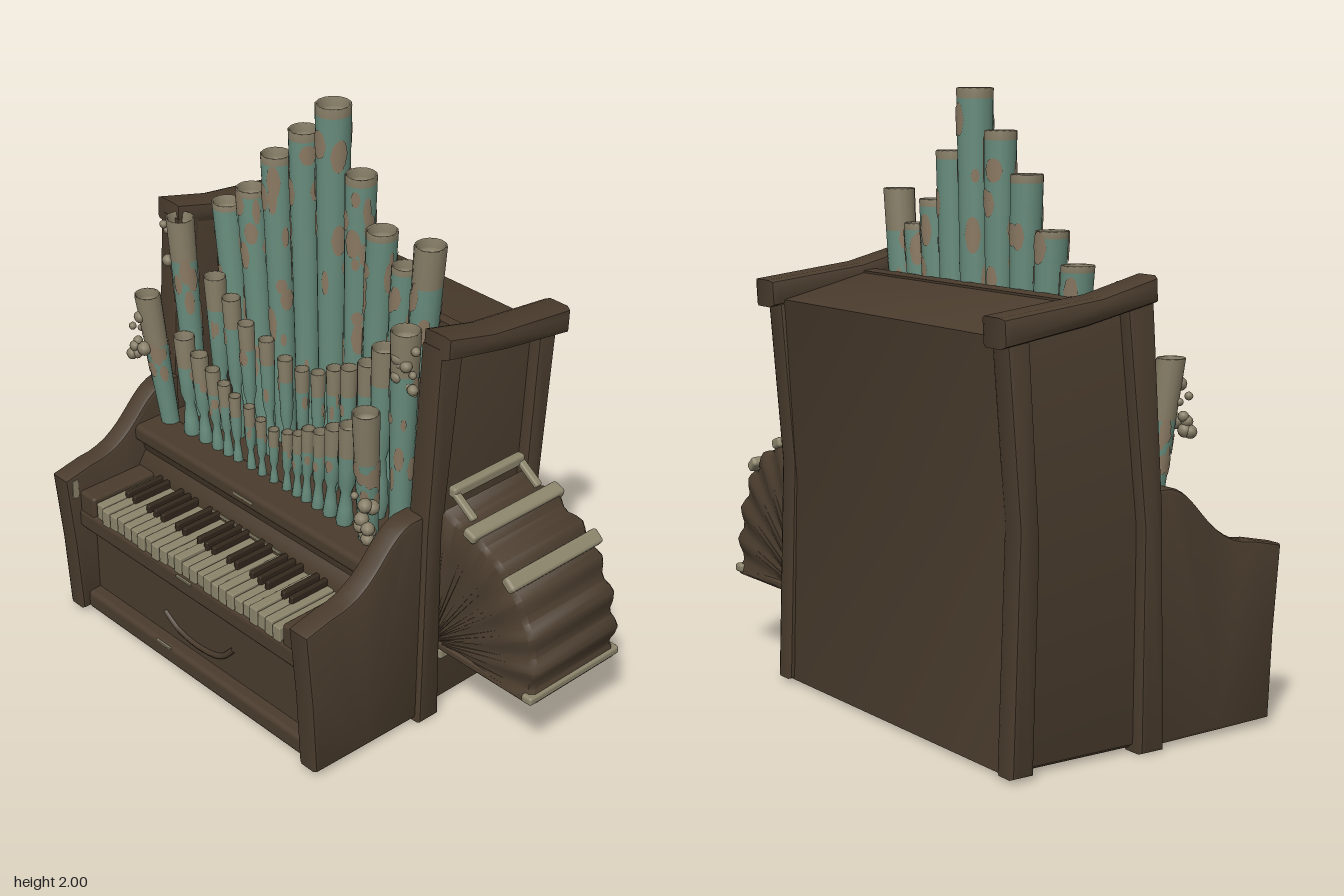
import * as THREE from 'three';
import { toCreasedNormals } from 'three/addons/utils/BufferGeometryUtils.js';
import { RoundedBoxGeometry } from 'three/addons/geometries/RoundedBoxGeometry.js';

const mat = (name, color, side = THREE.FrontSide) => {
  const m = new THREE.MeshStandardMaterial({ color, side });
  m.name = name;
  return m;
};

export function createModel() {
  const root = new THREE.Group();
  root.name = 'pipeOrgan';
  const wood = mat('dark wood', 0x4a3c2d);
  const leather = mat('bellows leather', 0x4c3e2f, THREE.DoubleSide);
  const shade = mat('dark recess', 0x33281d);
  const bone = mat('bone', 0x8c856c);
  const teal = mat('verdigris copper', 0x688d7d);
  const pale = mat('worn pipe metal', 0x877e67);
  const rust = mat('rust', 0x8a7962, THREE.DoubleSide);

  let seed = 7;
  const rnd = () => (seed = (seed * 16807) % 2147483647) / 2147483647;
  const group = (name) => {
    const g = new THREE.Group();
    g.name = name;
    root.add(g);
    return g;
  };
  const add = (parent, name, geo, material) => {
    const m = new THREE.Mesh(geo, material);
    m.name = name;
    parent.add(m);
    return m;
  };
  // Rounded block given by its extents
  const block = (parent, name, x0, x1, y0, y1, z0, z1, material = wood, r = 0.012) => {
    const w = x1 - x0, h = y1 - y0, d = z1 - z0;
    const m = add(parent, name, new RoundedBoxGeometry(w, h, d, 2, Math.min(r, w / 3, h / 3, d / 3)), material);
    m.position.set((x0 + x1) / 2, (y0 + y1) / 2, (z0 + z1) / 2);
    return m;
  };
  // Side profile (x = depth, y = height) extruded along x, with softened edges
  const slabShape = (parent, name, shape, x0, x1, material = wood, b = 0.012) => {
    const geo = new THREE.ExtrudeGeometry(shape, {
      depth: x1 - x0 - 2 * b, bevelEnabled: b > 0, bevelSize: b, bevelOffset: -b, bevelThickness: b, bevelSegments: 2, curveSegments: 12,
    });
    geo.rotateY(-Math.PI / 2).translate(x1 - b, 0, 0);
    return add(parent, name, toCreasedNormals(geo, 0.7), material);
  };
  // The same from a list of [z, y] points
  const slab = (parent, name, pts, ...rest) =>
    slabShape(parent, name, new THREE.Shape(pts.map((p) => new THREE.Vector2(p[0], p[1]))), ...rest);

  // Cabinet: leaning sides, posts, caps, back, floor and sloping roof
  const cabinet = group('cabinet');
  slab(cabinet, 'cabinetBody', [[-0.17, 0.01], [-0.17, 1.385], [-0.505, 1.305], [-0.465, 0.7], [-0.485, 0.01]], -0.83, 0.43);
  for (const s of [-1, 1]) {
    const X = (a, b) => (s > 0 ? [-0.2 + a, -0.2 + b] : [-0.2 - b, -0.2 - a]);
    slab(cabinet, 'sidePanel', [[0.02, 0.02], [-0.03, 1.38], [-0.47, 1.3], [-0.45, 0.02]], ...X(0.6, 0.645));
    slab(cabinet, 'frontPost', [[0.07, 0], [0.055, 0.75], [0.01, 1.41], [-0.09, 1.39], [-0.015, 0.7], [-0.02, 0]], ...X(0.595, 0.69), wood, 0.016);
    slab(cabinet, 'backPost', [[-0.42, 0.01], [-0.4, 0.7], [-0.44, 1.31], [-0.52, 1.29], [-0.475, 0.75], [-0.5, 0.01]], ...X(0.6, 0.69), wood, 0.018);
    slab(cabinet, 'postCap', [[0.01, 1.38], [0.005, 1.46], [-0.2, 1.41], [-0.555, 1.37], [-0.55, 1.28], [-0.25, 1.325]], ...X(0.595, 0.72), wood, 0.025);
  }
  slab(cabinet, 'roofFrontRail', [[-0.155, 1.3], [-0.155, 1.39], [-0.2, 1.385], [-0.2, 1.3]], -0.82, 0.42);
  slab(cabinet, 'recessWall', [[-0.165, 0.66], [-0.165, 1.3], [-0.172, 1.3], [-0.172, 0.66]], -0.8, 0.4, shade, 0);
  block(cabinet, 'floor', -0.83, 0.43, 0.01, 0.06, -0.47, 0.46);

  // Console: swept cheeks, front panels and the pipe ledge
  const consoleCase = group('console');
  const cheek = new THREE.Shape();
  cheek.moveTo(0.04, 0.01);
  cheek.lineTo(0.04, 0.81);
  cheek.lineTo(0.1, 0.81);
  cheek.bezierCurveTo(0.22, 0.79, 0.25, 0.61, 0.44, 0.605);
  cheek.lineTo(0.555, 0.58);
  cheek.lineTo(0.53, 0.3);
  cheek.lineTo(0.515, 0.02);
  cheek.lineTo(0.3, 0.015);
  slabShape(consoleCase, 'rightCheek', cheek, -0.87, -0.785, wood, 0.016);
  slabShape(consoleCase, 'leftCheek', cheek, 0.375, 0.465, wood, 0.016);
  block(consoleCase, 'rightCheekWear', -0.793, -0.783, 0.5, 0.57, 0.505, 0.53, bone, 0.002);
  block(consoleCase, 'leftCheekWear', 0.373, 0.383, 0.5, 0.57, 0.505, 0.53, bone, 0.002);
  block(consoleCase, 'baseRail', -0.8, 0.39, 0.015, 0.09, 0.08, 0.49, wood, 0.02);
  block(consoleCase, 'kneePanel', -0.8, 0.39, 0.07, 0.39, 0.05, 0.44);
  block(consoleCase, 'keySlip', -0.8, 0.39, 0.37, 0.45, 0.1, 0.505, wood, 0.02);
  block(consoleCase, 'ledge', -0.82, 0.42, 0.4, 0.67, -0.17, 0.2);
  slab(consoleCase, 'fallboard', [[0.1, 0.44], [0.1, 0.64], [0.225, 0.64], [0.205, 0.57], [0.235, 0.525], [0.235, 0.44]], -0.79, 0.38, wood, 0.006);
  block(consoleCase, 'ledgeRail', -0.81, 0.4, 0.62, 0.685, 0.1, 0.245, wood, 0.02);
  block(consoleCase, 'railWear', -0.25, -0.15, 0.65, 0.66, 0.238, 0.247, bone, 0.002);
  block(consoleCase, 'fallboardWear', -0.4, -0.02, 0.51, 0.522, 0.229, 0.238, bone, 0.002);
  block(consoleCase, 'rightKeyBlock', -0.79, -0.705, 0.43, 0.52, 0.2, 0.5);
  block(consoleCase, 'leftKeyBlock', 0.285, 0.38, 0.43, 0.52, 0.2, 0.5);
  block(consoleCase, 'slipWear', -0.25, -0.17, 0.432, 0.44, 0.5, 0.509, bone, 0.002);
  block(consoleCase, 'baseWear', -0.4, -0.32, 0.078, 0.086, 0.483, 0.492, bone, 0.002);
  const carve = new THREE.CatmullRomCurve3([[-0.4, 0.18], [-0.33, 0.14], [-0.21, 0.125], [-0.1, 0.15], [-0.03, 0.215]].map(([x, y]) => new THREE.Vector3(x, y, 0.44)));
  add(consoleCase, 'curvedHandle', new THREE.TubeGeometry(carve, 20, 0.012, 6), wood);

  // Keyboard: uneven pale keys with dark sharps
  const keyboard = group('keyboard');
  const keys = 25, kw = 0.98 / keys;
  for (let i = 0; i < keys; i++) {
    const x = -0.7 + i * kw, drop = rnd() * 0.012;
    block(keyboard, 'naturalKey', x + 0.001, x + kw - 0.001, 0.44, 0.508 - drop, 0.225, 0.505 - rnd() * 0.012, bone, 0.005);
    if (![2, 6].includes(i % 7) && i < keys - 1) {
      block(keyboard, 'sharpKey', x + kw - 0.01, x + kw + 0.01, 0.48, 0.527, 0.225, 0.39, shade, 0.005);
    }
  }

  // One leaning pipe: tapered body, worn collar, hollow mouth, worn patches
  const BASE = 0.66;
  const pipe = (parent, x, top, z, r, bx, bz, pinched, wear) => {
    const h = top - BASE;
    const shear = new THREE.Matrix4().set(1, (x - bx) / h, 0, bx, 0, 1, 0, BASE, 0, (z - bz) / h, 1, bz, 0, 0, 0, 1);
    const R = pinched
      ? (t) => r * (t < 0.1 ? 0.55 + 2.5 * t : t < 0.36 ? 0.8 - 1.3 * (t - 0.1) : t < 0.45 ? 0.46 + 3.4 * (t - 0.36) : 0.77 + 0.42 * (t - 0.45))
      : (t) => r * (0.7 + 0.3 * t);
    const lathe = (name, pts, material) =>
      add(parent, name, new THREE.LatheGeometry(pts.map((p) => new THREE.Vector2(p[0], p[1])), 14).applyMatrix4(shear), material);
    const c = 1 - wear, body = [0, 0.1, 0.22, 0.36, 0.45, 0.6].filter((t) => t < c - 0.02).concat(c);
    lathe('pipeBody', body.map((t) => [R(t), t * h]), teal);
    lathe('pipeCollar', [[R(c), c * h], [R(1), h - 0.003], [R(1) * 0.95, h], [R(1) * 0.88, h - 0.003], [R(1) * 0.84, h - 0.035]], pale);
    lathe('pipeMouth', [[R(1) * 0.86, h - 0.025], [R(1) * 0.8, h - 0.05], [0, h - 0.052]], pale);
    // Patches gather towards the top of the pipe
    for (let i = 0; i < (pinched ? 4 : 16); i++) {
      const low = pinched ? 0.5 : 0.25, t = low + Math.sqrt(rnd()) * (c - low - 0.02), arc = 0.4 + rnd() * 0.8;
      const ph = Math.min(h * 0.12, 0.04 + rnd() * 0.08), g = new THREE.CylinderGeometry(R(t) + 0.003, R(t) + 0.002, ph, 6, 1, true, 0, arc);
      const p = g.attributes.position, uv = g.attributes.uv;
      for (let k = 0; k < p.count; k++) p.setY(k, p.getY(k) * Math.sqrt(Math.max(0, 1 - (2 * uv.getX(k) - 1) ** 2)));
      g.rotateY(rnd() * 6.28).translate(0, Math.min(t * h, h - ph / 2), 0).applyMatrix4(shear);
      add(parent, 'wornPatch', g, rust);
    }
  };

  const back = group('backPipes');
  [[-0.68, 1.48], [-0.55, 1.575], [-0.42, 1.74], [-0.28, 1.87], [-0.14, 2], [-0.01, 1.8], [0.088, 1.64], [0.195, 1.555], [0.305, 1.665]].forEach(([x, y], i) =>
    pipe(back, x, y, -0.115, i === 4 ? 0.06 : i === 7 ? 0.045 : 0.053, -0.17 + (x + 0.17) * 0.84, -0.11, false, i === 8 ? 0.14 : 0.025));

  const middle = group('middlePipes');
  [[-0.77, 1.43, 0.05], [-0.61, 1.26, 0.04], [-0.525, 1.21, 0.034], [-0.45, 1.14, 0.03], [-0.345, 1.12, 0.028], [-0.25, 1.085, 0.027], [-0.165, 1.08, 0.026],
    [-0.085, 1.1, 0.026], [-0.005, 1.15, 0.028], [0.065, 1.18, 0.03], [0.155, 1.235, 0.036], [0.23, 1.32, 0.044], [0.34, 1.43, 0.05]].forEach(([x, y, r], i) => {
    const end = i === 0 || i === 12;
    pipe(middle, x, y, end ? 0.02 : 0.005, r, -0.2 + (x + 0.2) * 0.93, 0, !end, 0.2);
  });

  const front = group('frontPipes');
  [[-0.77, 1.19, 0.046], [-0.64, 1.06, 0.038], [-0.56, 1.02, 0.032], [-0.49, 0.99, 0.027], [-0.43, 0.96, 0.024], [-0.375, 0.935, 0.022], [-0.3, 0.925, 0.021],
    [-0.24, 0.9, 0.02], [-0.175, 0.89, 0.02], [-0.105, 0.91, 0.021], [-0.05, 0.93, 0.022], [0.0, 0.97, 0.024], [0.06, 0.985, 0.027], [0.125, 1.03, 0.032],
    [0.2, 1.07, 0.038], [0.325, 1.19, 0.046]].forEach(([x, y, r], i) => {
    const end = i === 0 || i === 15;
    pipe(front, x, y, end ? 0.175 : 0.125, r, -0.2 + (x + 0.2) * 0.93, 0.125, !end, end ? 0.36 : 0.28);
  });

  // Barnacle clusters on the outer pipes
  const growths = group('barnacles');
  [[-0.79, 1.04, 0.19], [0.365, 1.3, 0.025], [0.325, 0.8, 0.165], [-0.81, 1.34, 0.03]].forEach(([x, y, z], c) => {
    for (let i = 0; i < (c === 3 ? 4 : 10); i++) {
      const m = add(growths, 'barnacle', new THREE.SphereGeometry(0.012 + rnd() * 0.014, 8, 6), pale);
      m.position.set(x + (rnd() - 0.5) * 0.06, y + (rnd() - 0.5) * 0.16, z + rnd() * 0.035);
    }
  });

  // Fan bellows: softly pleated sections swung about a hinge
  const bellows = group('bellows');
  const PX = 0.44, PY = 0.28, ZC = -0.215, N = 30;
  const polar = (a, r) => [PX + Math.cos(a) * r, PY + Math.sin(a) * r];
  const pos = [];
  const section = (i) => {
    const t = i / N, a = t * 1.48, fold = Math.cos((i / 5) * Math.PI * 2);
    const r = 0.46 + 0.075 * Math.sin(t * 2) + fold * 0.011, w = 0.203 + fold * 0.006;
    const at = (k, s) => [...polar(a, r * k), ZC + s * w * (k < 0.5 ? 0.97 : 1)];
    return [at(0.05, 1), at(0.75, 1), at(0.97, 0.98), at(1, 0.9), at(1, -0.9), at(0.97, -0.98), at(0.75, -1), at(0.05, -1)];
  };
  for (let i = 0; i < N; i++) {
    const A = section(i), B = section(i + 1);
    for (let k = 0; k < 8; k++) {
      const n = (k + 1) % 8;
      pos.push(...A[k], ...A[n], ...B[n], ...A[k], ...B[n], ...B[k]);
    }
  }
  for (const [S, flip] of [[section(0), true], [section(N), false]]) {
    for (let k = 1; k < 7; k++) pos.push(...S[0], ...S[flip ? k + 1 : k], ...S[flip ? k : k + 1]);
  }
  const fan = new THREE.BufferGeometry();
  fan.setAttribute('position', new THREE.Float32BufferAttribute(pos, 3));
  add(bellows, 'pleatedFan', toCreasedNormals(fan, 0.8), leather);

  // Bellows ribs, bottom board, hinge bars and handle
  for (const [a, r] of [[1.24, 0.535], [0.86, 0.535]]) {
    const [x, y] = polar(a, r);
    const rib = block(bellows, 'rib', x - 0.027, x + 0.027, y - 0.018, y + 0.018, ZC - 0.215, ZC + 0.215, bone);
    rib.rotation.z = a - Math.PI / 2;
  }
  block(bellows, 'bottomBoard', 0.46, 0.905, 0.27, 0.3, ZC - 0.205, ZC + 0.205, leather);
  block(bellows, 'bottomEdge', 0.87, 0.915, 0.28, 0.31, ZC - 0.215, ZC + 0.215, bone);
  block(bellows, 'lowerHinge', 0.43, 0.485, 0.215, 0.262, ZC - 0.19, ZC + 0.19, bone);
  block(bellows, 'topHandle', 0.47, 0.505, 0.85, 0.89, ZC - 0.165, ZC + 0.165, bone);
  for (const s of [-1, 1]) {
    const arm = block(bellows, 'handleArm', 0.48, 0.59, 0.825, 0.847, ZC + s * 0.15 - 0.014, ZC + s * 0.15 + 0.014, bone);
    arm.rotation.z = -0.6;
  }
  return root;
}
